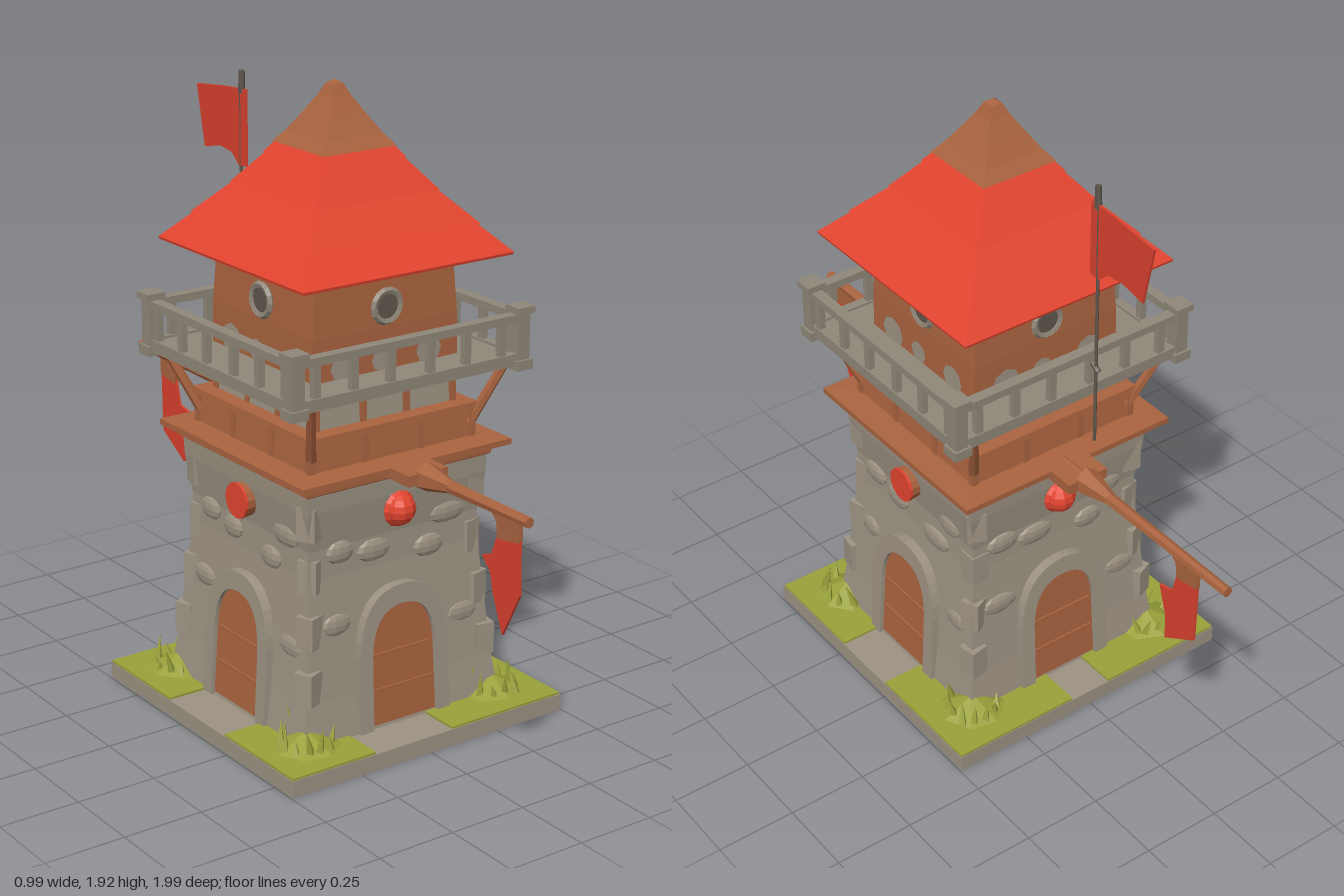
import * as THREE from 'three';

const mat = (name, color, double) => {
  const m = new THREE.MeshStandardMaterial({ color, flatShading: true });
  m.name = name;
  if (double) m.side = THREE.DoubleSide;
  return m;
};

export function createModel() {
  const stone = mat('stone', 0x9c9282);
  const wood = mat('wood', 0xa9633f);
  const red = mat('red', 0xe2442f);
  const cloth = mat('redCloth', 0xd8412e, true);
  const grass = mat('grass', 0x98a03a);
  const dark = mat('darkMetal', 0x5f564c);
  const trim = mat('railStone', 0x8f8778);

  const model = new THREE.Group();
  const tower = new THREE.Group();
  tower.name = 'tower';
  tower.position.z = 0.09;
  model.add(tower);

  let seed = 7;
  const rnd = () => (seed = (seed * 16807) % 2147483647) / 2147483647;

  const add = (parent, name, geo, material, x = 0, y = 0, z = 0) => {
    const m = new THREE.Mesh(geo, material);
    m.name = name;
    m.position.set(x, y, z);
    parent.add(m);
    return m;
  };
  const box = (parent, name, material, w, h, d, x, y, z) =>
    add(parent, name, new THREE.BoxGeometry(w, h, d), material, x, y, z);
  // square tower section from [half width, y] pairs, bottom to top
  const square = (parent, name, material, profile) => {
    const pts = profile.map(([r, y]) => new THREE.Vector2(r * Math.SQRT2, y));
    return add(parent, name, new THREE.LatheGeometry(pts, 4, Math.PI / 4), material);
  };
  // round bar between two points
  const bar = (parent, name, material, a, b, r0, r1 = r0, sides = 6) => {
    const p = new THREE.Vector3(...a), q = new THREE.Vector3(...b);
    const m = add(parent, name, new THREE.CylinderGeometry(r1, r0, p.distanceTo(q), sides), material);
    m.position.copy(p).lerp(q, 0.5);
    m.quaternion.setFromUnitVectors(new THREE.Vector3(0, 1, 0), q.sub(p).normalize());
    return m;
  };
  const arch = (w, top) => {
    const s = new THREE.Shape();
    s.moveTo(-w, 0.05).lineTo(w, 0.05).lineTo(w * 0.97, top - w * 1.2);
    s.quadraticCurveTo(w * 0.9, top, 0, top);
    s.quadraticCurveTo(-w * 0.9, top, -w * 0.97, top - w * 1.2);
    return s.closePath();
  };
  const extrude = (shape, depth) =>
    new THREE.ExtrudeGeometry(shape, { depth, bevelEnabled: false, curveSegments: 8 });

  // ground slab and grass patches
  box(model, 'groundSlab', stone, 0.99, 0.052, 0.99, 0, 0.026, 0.088);
  for (const [x0, x1, z0, z1] of [[-0.493, -0.07, -0.405, -0.07], [0.07, 0.493, -0.405, 0],
    [-0.493, -0.2, 0.23, 0.58], [0.08, 0.493, 0.23, 0.58]])
    box(model, 'grassPatch', grass, x1 - x0, 0.008, z1 - z0, (x0 + x1) / 2, 0.055, (z0 + z1) / 2);

  // stone body and the wood and stone storey above it
  square(tower, 'stoneBody', stone, [[0.36, 0.05], [0.342, 0.18], [0.325, 0.36], [0.308, 0.55],
    [0.306, 0.64], [0.322, 0.76], [0.325, 0.83]]);
  square(tower, 'woodFrieze', wood, [[0.318, 0.81], [0.333, 0.82], [0.335, 0.85]]);
  square(tower, 'ledge', wood, [[0, 0.838], [0.345, 0.838], [0.375, 0.85], [0.375, 0.868], [0.3, 0.872], [0, 0.872]]);
  square(tower, 'woodBand', wood, [[0.295, 0.865], [0.285, 0.955], [0.305, 0.96], [0.303, 0.978], [0.24, 0.98]]);
  square(tower, 'stoneStorey', stone, [[0.255, 0.97], [0.245, 1.1]]);
  square(tower, 'woodStorey', wood, [[0.258, 1.1], [0.256, 1.25], [0.245, 1.44]]);

  // roof with overlapping tiers and a wooden tip
  square(tower, 'roof', red, [[0, 1.445], [0.25, 1.445], [0.368, 1.428], [0.37, 1.436], [0.285, 1.525],
    [0.302, 1.515], [0.203, 1.62], [0.217, 1.61], [0.137, 1.71], [0.148, 1.703], [0.1, 1.765]]);
  square(tower, 'roofTip', wood, [[0.128, 1.735], [0.1, 1.77], [0.065, 1.825], [0.035, 1.875], [0.018, 1.91], [0, 1.922]]);

  // balcony floor
  box(tower, 'balconyFloor', trim, 0.79, 0.035, 0.73, 0, 1.105, 0);

  // parts repeated on the four sides, each facing its own +z
  for (let i = 0; i < 4; i++) {
    const side = new THREE.Group();
    side.name = 'towerSide';
    side.rotation.y = i * Math.PI / 2;
    tower.add(side);

    // arched door with stone surround, leaning with the wall
    const frame = arch(0.165, 0.485);
    frame.holes.push(arch(0.118, 0.425));
    add(side, 'doorFrame', extrude(frame, 0.06), stone, 0, 0, 0.315).rotation.x = -0.06;
    add(side, 'door', extrude(arch(0.12, 0.428), 0.04), wood, 0, 0, 0.322).rotation.x = -0.06;
    for (const y of [0.17, 0.28])
      box(side, 'doorBoard', wood, 0.21, 0.012, 0.01, 0, y, 0.362 - y * 0.06);

    // round shield: disc on the flanks, boss at front and back
    if (i % 2) {
      const rim = add(side, 'shieldRim', new THREE.CylinderGeometry(0.054, 0.05, 0.05, 14), wood, 0, 0.715, 0.32);
      const face = add(side, 'shieldFace', new THREE.CylinderGeometry(0.055, 0.055, 0.008, 14), red, 0, 0.715, 0.348);
      rim.rotation.x = face.rotation.x = Math.PI / 2;
    } else {
      add(side, 'boss', new THREE.SphereGeometry(0.05, 10, 8), red, 0, 0.715, 0.325);
      add(side, 'bossRing', new THREE.TorusGeometry(0.044, 0.012, 5, 12), red, 0, 0.715, 0.325);
    }

    // round window
    const pane = add(side, 'windowPane', new THREE.CylinderGeometry(0.045, 0.045, 0.02, 12), dark, 0, 1.31, 0.25);
    pane.rotation.x = Math.PI / 2;
    add(side, 'windowFrame', new THREE.TorusGeometry(0.046, 0.011, 5, 14), trim, 0, 1.31, 0.257);

    // studs and plaster patches
    for (const x of [-0.245, -0.08, 0.075, 0.245])
      box(side, 'stud', wood, 0.022, 0.14, 0.022, x, 1.035, 0.247);
    for (const x of [-0.29, -0.1, 0.1, 0.29])
      box(side, 'bandStud', wood, 0.02, 0.1, 0.02, x, 0.915, 0.288);
    for (const [x, w] of [[-0.15, 0.1], [-0.02, 0.07], [0.15, 0.09]])
      add(side, 'plasterPatch', new THREE.CircleGeometry(w / 2, 8), stone, x, 1.155, 0.261);

    // rough stones on wall and corner
    for (const [x, y] of [[-0.2, 0.62], [0.19, 0.66], [0.12, 0.57], [-0.22, 0.4], [0.24, 0.33], [-0.08, 0.6]])
      add(side, 'wallStone', new THREE.SphereGeometry(1, 9, 6), stone, x, y, 0.336 - y * 0.045)
        .scale.set(0.05 + rnd() * 0.02, 0.035, 0.014);
    for (let k = 0; k < 4; k++) {
      const r = [0.332, 0.312, 0.295, 0.303][k];
      box(side, 'cornerStone', stone, 0.06, 0.1, 0.06, r - 0.013, 0.23 + k * 0.165, r - 0.013).rotation.y = rnd() - 0.5;
    }

    // grass tufts at the corner
    for (let k = 0; k < 12; k++) {
      const t = k / 12 * Math.PI * 2, h = 0.04 + rnd() * 0.07;
      const blade = add(side, 'grassBlade', new THREE.ConeGeometry(0.016, h, 4), grass,
        0.34 + Math.cos(t) * 0.075, 0.055 + h / 2, 0.34 + Math.sin(t) * 0.075);
      blade.rotation.set(rnd() * 0.6 - 0.3, 0, rnd() * 0.6 - 0.3);
    }
    add(side, 'grassMound', new THREE.ConeGeometry(0.12, 0.06, 7), grass, 0.34, 0.08, 0.34);

    // diagonal brace and corner post
    bar(side, 'brace', wood, [0.285, 0.91, 0.285], [0.372, 1.1, 0.345], 0.017, 0.014);
    const flank = i % 2, hx = flank ? 0.37 : 0.4, hz = flank ? 0.4 : 0.37;
    box(side, 'railPost', trim, 0.042, 0.18, 0.042, hx, 1.18, hz);
    box(side, 'postCap', trim, 0.062, 0.02, 0.062, hx, 1.262, hz);
    box(side, 'postFoot', trim, 0.058, 0.03, 0.058, hx, 1.095, hz);

    // railing
    box(side, 'topRail', trim, hx * 2, 0.024, 0.034, 0, 1.238, hz);
    box(side, 'bottomRail', trim, hx * 2, 0.036, 0.03, 0, 1.112, hz);
    for (const x of [-0.33, -0.2, -0.07, 0.07, 0.2, 0.33])
      box(side, 'baluster', trim, 0.024, 0.11, 0.02, x, 1.175, hz);
  }

  // flat cloth from [z, y] outline in the x = 0 plane
  const banner = (name, material, pts, thick = 0.008) => {
    const shape = new THREE.Shape(pts.map(p => new THREE.Vector2(...p)));
    add(model, name, extrude(shape, thick), material, thick / 2).rotation.y = -Math.PI / 2;
  };

  // front and back beams with hanging banners
  for (const [s, z0] of [[1, 0.42], [-1, -0.24]]) {
    bar(model, 'beam', wood, [0, 0.852, z0], [0, 0.855, s * 0.995], 0.021, 0.016, 7);
    box(model, 'beamSeat', wood, 0.14, 0.034, 0.14, 0, 0.852, z0 + s * 0.06);
    bar(model, 'beamCollar', wood, [0, 0.852, z0 + s * 0.12], [0, 0.854, z0 + s * 0.24], 0.045, 0.018);
  }
  banner('frontBanner', cloth, [[0.96, 0.79], [0.965, 0.63], [0.895, 0.49], [0.85, 0.605], [0.838, 0.66],
    [0.8, 0.7], [0.84, 0.715], [0.868, 0.79]]);
  banner('frontBannerTop', wood, [[0.96, 0.85], [0.96, 0.785], [0.868, 0.77], [0.862, 0.82], [0.83, 0.85]], 0.014);
  banner('backBanner', cloth, [[-0.872, 0.79], [-0.868, 0.59], [-0.745, 0.515], [-0.742, 0.6], [-0.712, 0.695],
    [-0.765, 0.705], [-0.787, 0.79]]);
  banner('backBannerTop', wood, [[-0.872, 0.85], [-0.872, 0.785], [-0.787, 0.77], [-0.78, 0.82], [-0.75, 0.85]], 0.014);

  // flag on a pole behind the balcony
  bar(model, 'flagPole', dark, [0, 1.02, -0.395], [0, 1.83, -0.392], 0.005);
  bar(model, 'poleTop', dark, [0, 1.8, -0.388], [0, 1.87, -0.386], 0.011, 0.009);
  bar(model, 'poleBracket', dark, [0, 1.265, -0.405], [0, 1.285, -0.38], 0.009);
  banner('flag', cloth, [[-0.362, 1.815], [-0.48, 1.807], [-0.63, 1.79], [-0.59, 1.6], [-0.5, 1.618],
    [-0.44, 1.61], [-0.4, 1.575], [-0.362, 1.578]]);

  return model;
}
